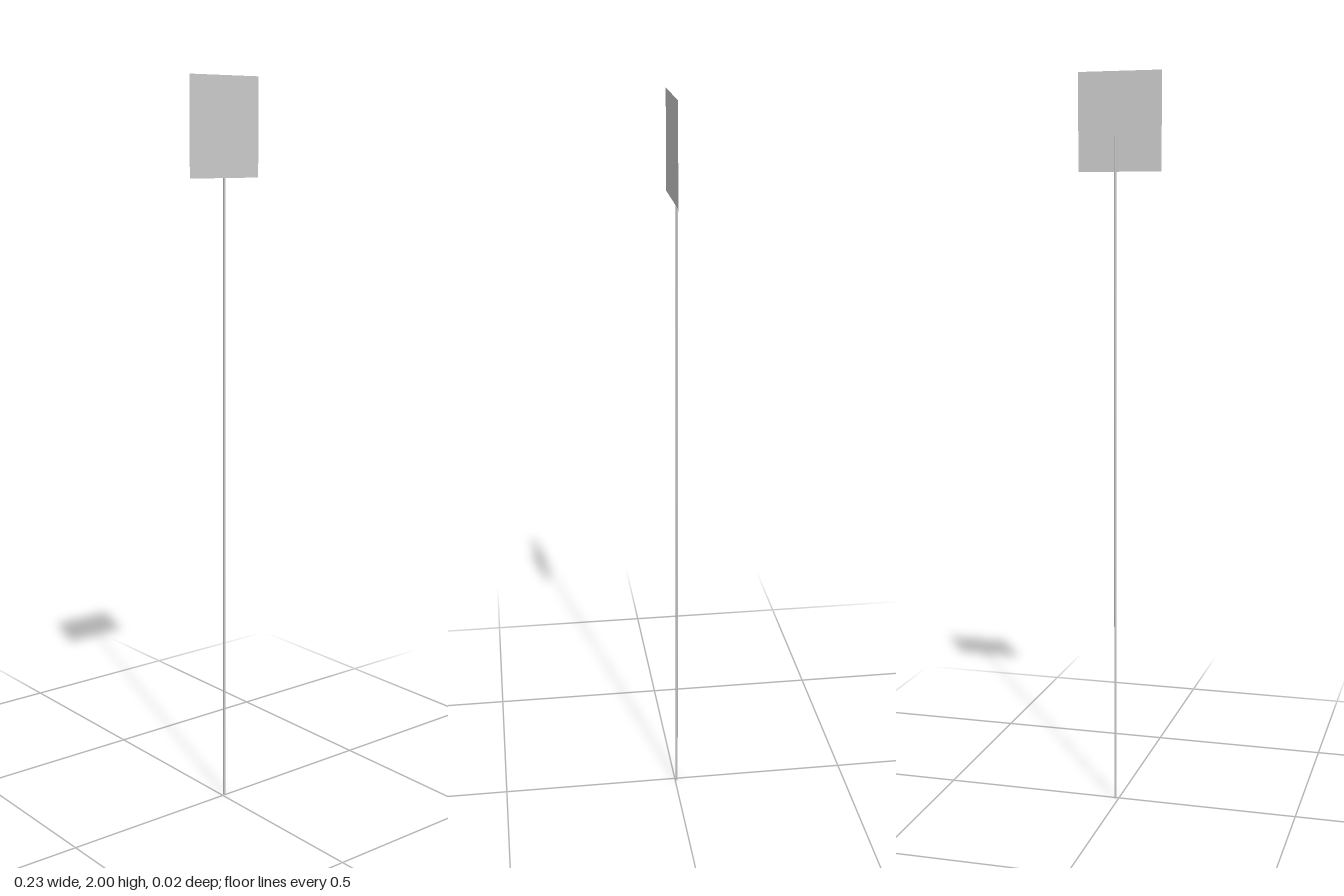
import * as THREE from 'three';

export function createModel() {
  const group = new THREE.Group();
  const grey = { color: 0xcccccc };

  // Thin flat sign panel, just in front of the pole
  const panel = new THREE.Mesh(
    new THREE.PlaneGeometry(0.228, 0.26),
    new THREE.MeshStandardMaterial({ ...grey, side: THREE.DoubleSide })
  );
  panel.name = 'signPanel';
  panel.position.set(0, 1.87, 0.0075);
  group.add(panel);

  // Slender pole, slightly off centre, ending behind the panel
  const poleHeight = 1.833;
  const pole = new THREE.Mesh(
    new THREE.CylinderGeometry(0.0032, 0.0032, poleHeight, 8),
    new THREE.MeshStandardMaterial(grey)
  );
  pole.name = 'pole';
  pole.position.set(0.009, poleHeight / 2, -0.0045);
  group.add(pole);

  return group;
}
